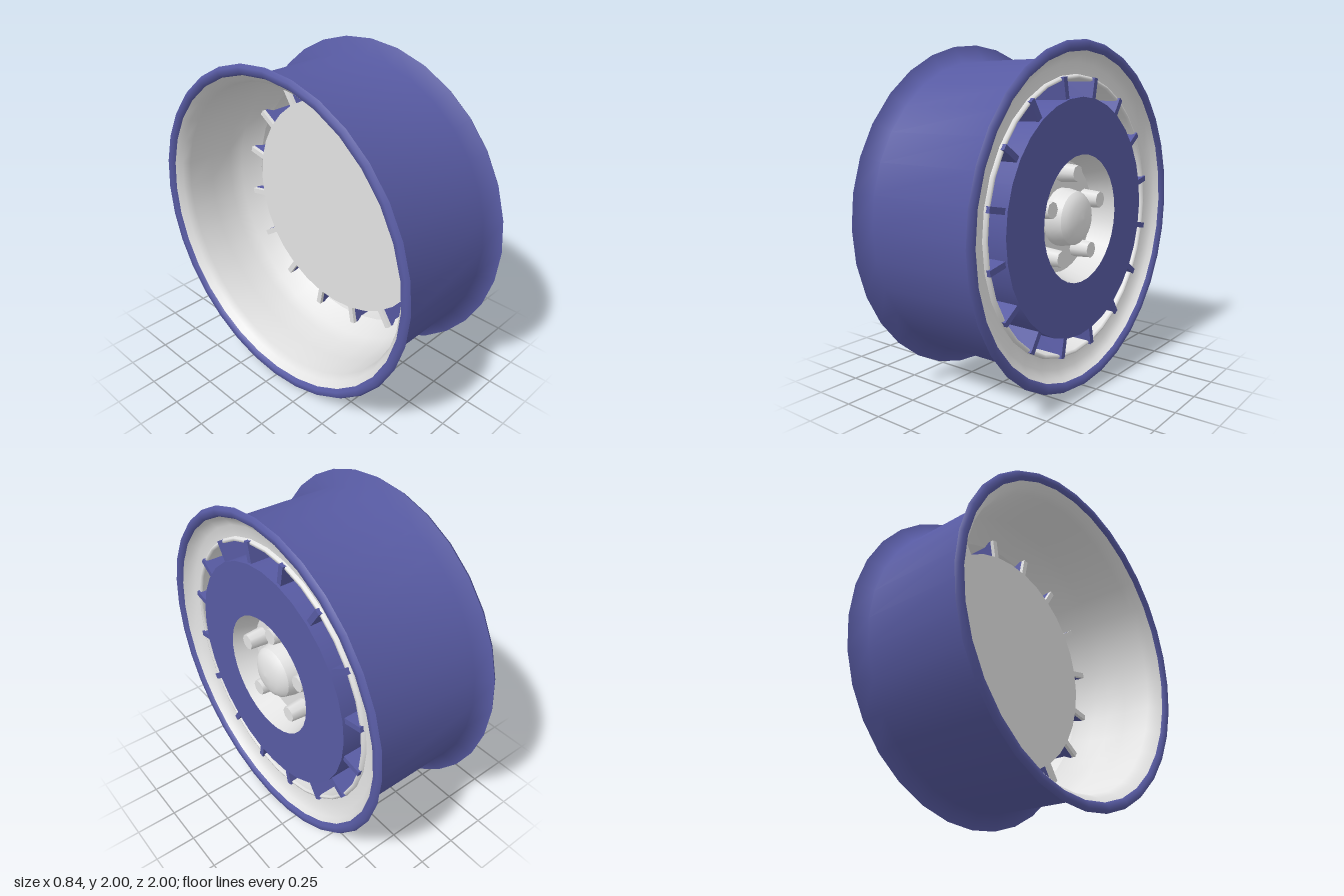
import * as THREE from 'three';
import { mergeGeometries } from 'three/addons/utils/BufferGeometryUtils.js';

const SIDES = 32;

export function createModel() {
  const blue = new THREE.MeshStandardMaterial({ color: 0x575aa2 });
  blue.name = 'blue paint';
  const silver = new THREE.MeshStandardMaterial({ color: 0xe2e2e2 });
  silver.name = 'light grey metal';

  // The wheel is turned around y, then laid over so that +y becomes +x.
  const wheel = new THREE.Group();
  wheel.name = 'wheel';
  wheel.rotation.z = -Math.PI / 2;
  wheel.position.y = 1;

  const add = (name, geometry, material) => {
    const mesh = new THREE.Mesh(geometry, material);
    mesh.name = name;
    wheel.add(mesh);
    return mesh;
  };
  // Each chain of [radius, height] points is smooth; edges between chains stay sharp.
  const turn = (name, material, chains, sides = SIDES) => add(name, mergeGeometries(
    chains.map((c) => new THREE.LatheGeometry(c.map(([r, h]) => new THREE.Vector2(r, h)), sides))), material);

  // Outer barrel flowing into flared flanges, with rolled lips
  turn('rimBarrel', blue, [
    [[0.94, -0.4], [0.955, -0.42], [0.985, -0.422], [1, -0.4]],
    [[1, -0.4], [0.905, -0.352], [0.905, 0.352], [1, 0.4]],
    [[1, 0.4], [0.985, 0.422], [0.955, 0.42], [0.94, 0.4]],
  ]);

  // Dished front, raised collar around the openings, and inner surface of the rim
  turn('rimInside', silver, [
    [[0.94, 0.4], [0.92, 0.372], [0.88, 0.345], [0.815, 0.338]],
    [[0.815, 0.338], [0.808, 0.355], [0.795, 0.358], [0.79, 0.345]],
    [[0.79, 0.345], [0.79, 0.2]],
    [[0.79, 0.2], [0.81, 0.17], [0.86, 0.08], [0.885, 0], [0.89, -0.15], [0.89, -0.32], [0.91, -0.365], [0.94, -0.4]],
  ]);

  // Face disc with its centre opening
  turn('faceDisc', blue, [
    [[0.69, 0.13], [0.69, 0.385]],
    [[0.69, 0.385], [0.37, 0.385]],
  ]);
  turn('discBack', silver, [
    [[0, 0.12], [0.69, 0.12]],
    [[0.69, 0.12], [0.69, 0.13]],
  ]);

  // Hub recess
  turn('hubRecess', silver, [
    [[0.37, 0.385], [0.33, 0.24]],
    [[0.33, 0.24], [0, 0.24]],
  ]);

  // Domed centre cap on a tapered base
  turn('centreCap', silver, [
    [[0.17, 0.24], [0.17, 0.275]],
    [[0.17, 0.275], [0.155, 0.345]],
    [[0.155, 0.345], [0.135, 0.368], [0.1, 0.387], [0.05, 0.398], [0, 0.402]],
  ], 24);

  // Five wheel bolts
  for (let i = 0; i < 5; i++) {
    const a = (i / 5) * Math.PI * 2;
    const bolt = turn('wheelBolt', silver, [
      [[0.057, 0.24], [0.048, 0.355]],
      [[0.048, 0.355], [0, 0.355]],
    ], 8);
    bolt.position.set(-0.26 * Math.cos(a), 0, 0.26 * Math.sin(a));
  }

  // Sixteen vanes joining the disc to the rim, painted except at the back edge
  const vane = (name, material, a, low, high) => {
    const mesh = add(name, new THREE.BoxGeometry(0.034, high - low, 0.14), material);
    mesh.position.set(0.74 * Math.sin(a), (low + high) / 2, 0.74 * Math.cos(a));
    mesh.rotation.y = a;
  };
  for (let i = 0; i < 16; i++) {
    const a = ((i + 0.5) / 16) * Math.PI * 2;
    vane('vaneFront', blue, a, 0.15, 0.37);
    vane('vaneBack', silver, a, 0.125, 0.15);
  }

  const model = new THREE.Group();
  model.name = 'wheelRim';
  model.add(wheel);
  return model;
}
